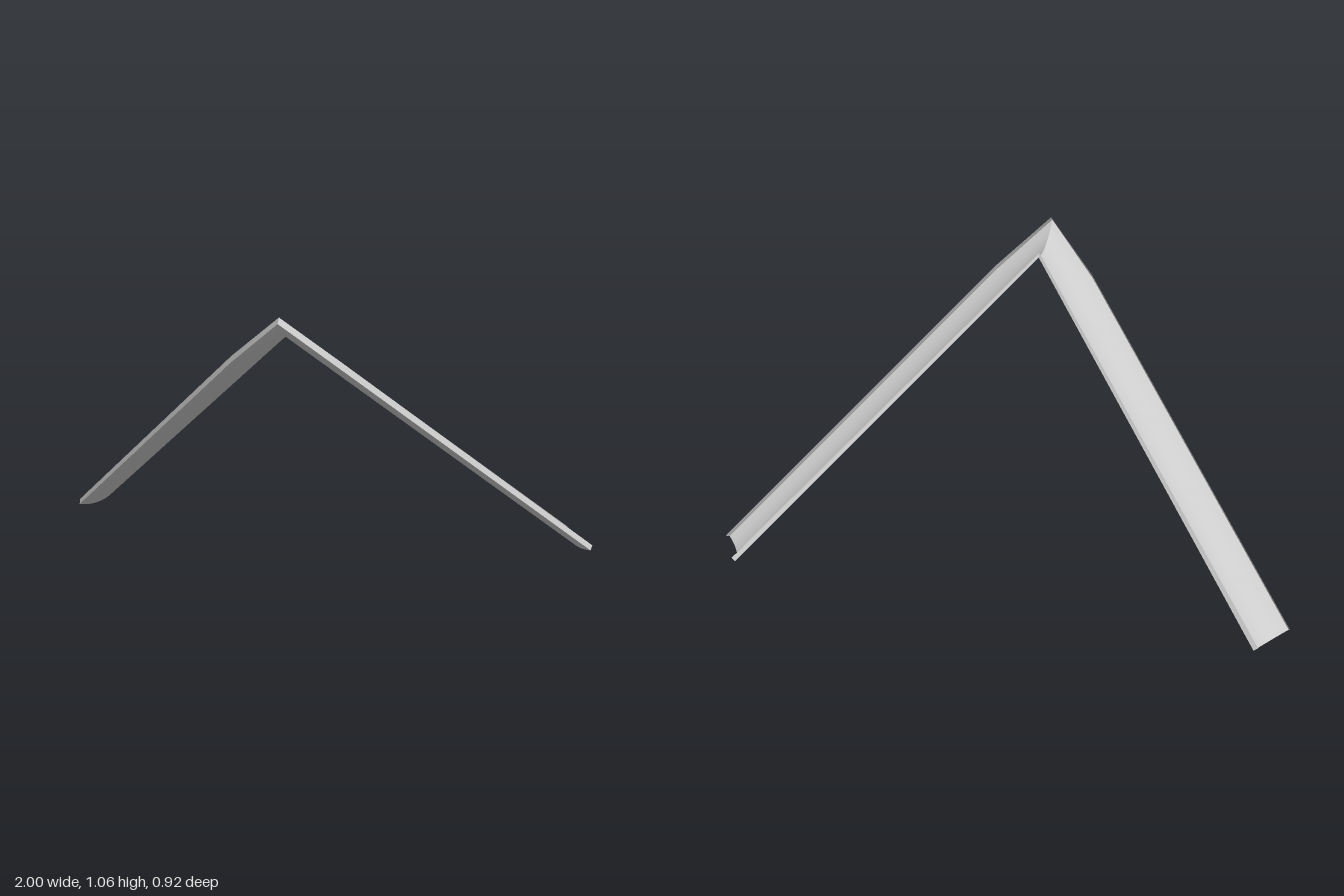
import * as THREE from 'three';

const V = (x, y, z) => new THREE.Vector3(x, y, z);
const SLOPE_Y = -1.06, SLOPE_Z = -0.812; // fall of a channel per unit of x

// Curve passing through three points
function arc(a, m, b) {
  const control = m.clone().multiplyScalar(2).addScaledVector(a, -0.5).addScaledVector(b, -0.5);
  return new THREE.QuadraticBezierCurve3(a, control, b);
}

// Thin sheet lofted through rows of points; side = -1 mirrors it
function sheet(name, rows, side, material) {
  const n = rows[0].length, pos = [], index = [];
  for (const row of rows) for (const p of row) pos.push(p.x * side, p.y, p.z);
  for (let r = 0; r < rows.length - 1; r++) {
    for (let i = 0; i < n - 1; i++) {
      const a = r * n + i, b = a + 1, c = a + n, d = c + 1;
      if (side > 0) index.push(a, b, c, b, d, c);
      else index.push(a, c, b, b, c, d);
    }
  }
  const geometry = new THREE.BufferGeometry();
  geometry.setAttribute('position', new THREE.Float32BufferAttribute(pos, 3));
  geometry.setIndex(index);
  geometry.computeVertexNormals();
  const mesh = new THREE.Mesh(geometry, material);
  mesh.name = name;
  return mesh;
}

// Point on the straight run from p, at the given x
const along = (p, x) => V(x, p.y + (x - p.x) * SLOPE_Y, p.z + (x - p.x) * SLOPE_Z);

export function createModel() {
  const group = new THREE.Group();
  group.name = 'corneredChannel';
  const material = new THREE.MeshStandardMaterial({ color: 0xcccccc, side: THREE.DoubleSide });

  // Trough section at the low end and at the mitred apex
  const low = arc(V(0.995, 0.015, -0.312), V(0.935, 0.003, -0.378), V(0.897, 0.024, -0.46));
  const apex = arc(V(0, 1.05, 0.455), V(0, 0.988, 0.368), V(0, 0.975, 0.268));
  const steps = 12;
  const lowRow = low.getPoints(steps);
  const apexRow = apex.getPoints(steps);
  // The front side bends slightly before reaching the apex
  const bendRow = lowRow.map((p, i) => along(p, 0.17 * (1 - i / steps) + 0.005));

  // Narrow lips turned up and inward along both edges
  const frontTip = V(1, 0.028, -0.33), backTip = V(0.91, 0.034, -0.457);
  const frontLip = [
    [frontTip, lowRow[0]],
    [along(frontTip, 0.175), bendRow[0]],
    [V(0, 1.065, 0.437), apexRow[0]],
  ];
  const backLip = [
    [lowRow[steps], backTip],
    [apexRow[steps], V(0, 0.99, 0.275)],
  ];

  for (const side of [1, -1]) {
    const channel = new THREE.Group();
    channel.name = side > 0 ? 'leftChannel' : 'rightChannel';
    channel.add(
      sheet('trough', [lowRow, bendRow, apexRow], side, material),
      sheet('frontLip', frontLip, side, material),
      sheet('backLip', backLip, side, material),
    );
    group.add(channel);
  }
  return group;
}
